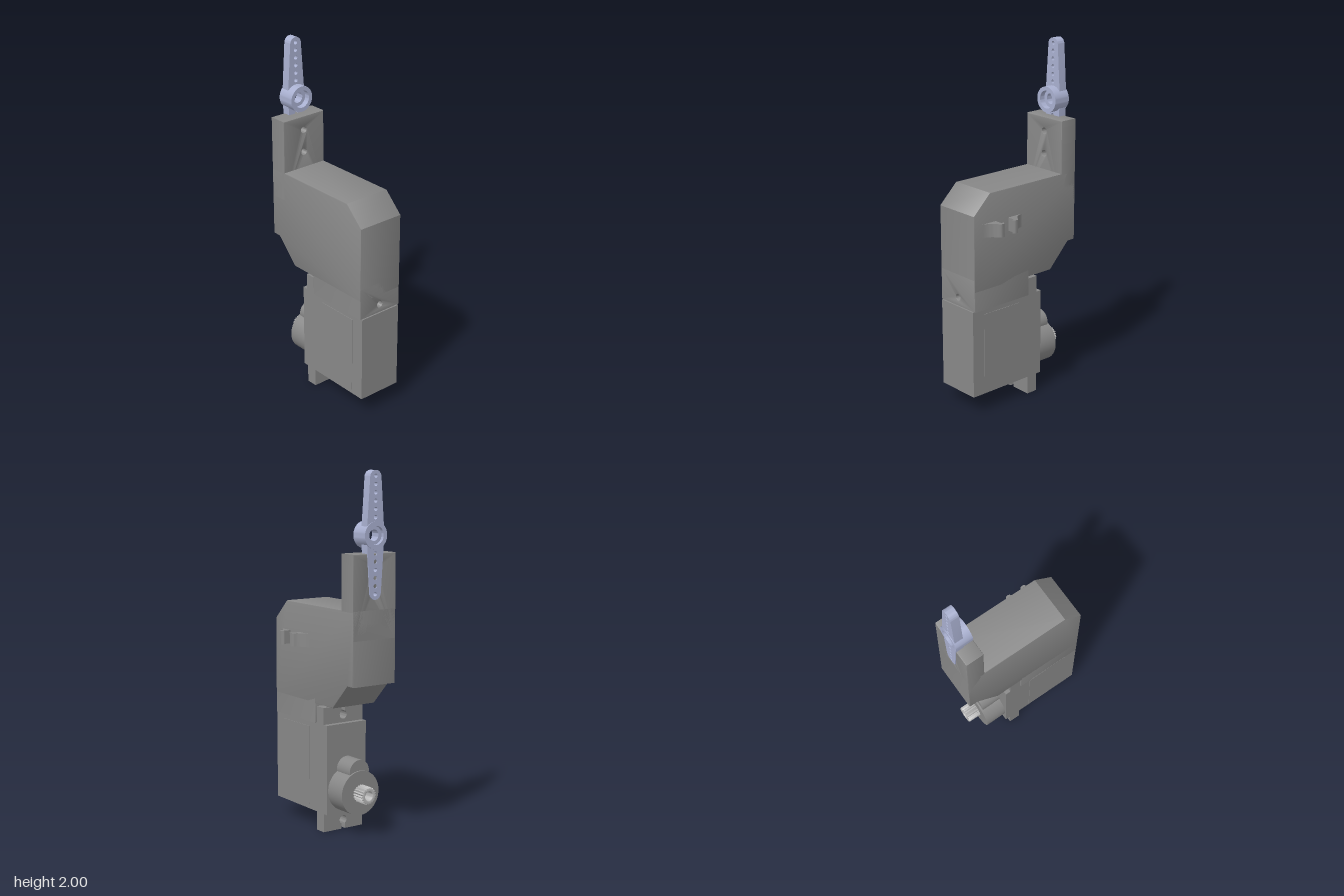
import * as THREE from 'three';
import { toCreasedNormals } from 'three/addons/utils/BufferGeometryUtils.js';

const CX = -0.034; // centre line of the body

export function createModel() {
  const root = new THREE.Group();
  root.name = 'servoArm';
  const mat = (name, color) => {
    const m = new THREE.MeshStandardMaterial({ color });
    m.name = name;
    return m;
  };
  const grey = mat('plastic grey', 0x888888);
  const horn = mat('pale blue plastic', 0xa9b0d0);
  const metal = mat('light metal', 0xb8b8b8);
  const orange = mat('orange wire', 0xe8930c);
  const dull = mat('dull wire', 0x8f8a80);

  const add = (name, geo, material, x = 0, y = 0, z = 0, parent = root) => {
    const m = new THREE.Mesh(geo, material);
    m.name = name;
    m.position.set(x, y, z);
    parent.add(m);
    return m;
  };
  const poly = (pts) => new THREE.Shape(pts.map(([x, y]) => new THREE.Vector2(x, y)));
  const hole = (shape, x, y, r) => {
    shape.holes.push(new THREE.Path().absarc(x, y, r, 0, Math.PI * 2, true));
    return shape;
  };
  // Extrusion from z0 to z1, with an optional small chamfer kept inside the outline
  const slab = (shape, z0, z1, b = 0) => {
    const g = new THREE.ExtrudeGeometry(shape, {
      depth: z1 - z0 - 2 * b, curveSegments: 20, bevelEnabled: b > 0,
      bevelSize: b, bevelThickness: b, bevelOffset: -b, bevelSegments: 2,
    });
    g.translate(0, 0, z0 + b);
    return toCreasedNormals(g, 0.6);
  };
  const rect = (hw, y0, y1) => poly([[-hw, y0], [hw, y0], [hw, y1], [-hw, y1]]);
  const discZ = (r, len) => new THREE.CylinderGeometry(r, r, len, 48).rotateX(Math.PI / 2);

  // Bracket: side profile (z, y) extruded across x
  const W = 0.1415;
  const bracket = new THREE.Group();
  bracket.name = 'bracket';
  root.add(bracket);
  const side = poly([
    [-0.375, 0.72], [0.185, 0.72], [0.32, 0.86], [0.37, 0.86],
    [0.37, 1.265], [-0.262, 1.265], [-0.375, 1.155],
  ]);
  add('bracketBody', slab(side, -W, W, 0.006).rotateY(Math.PI / 2), grey, CX, 0, 0, bracket);
  const post = rect(W, 1.1, 1.565);
  [1.485, 1.355].forEach((y) => hole(post, 0, y, 0.018));
  add('bracketPost', slab(post, -0.37, -0.262, 0.006), grey, CX, 0, 0, bracket);
  add('bracketSkirt', slab(hole(rect(W, 0.61, 0.8), 0, 0.66, 0.018), -0.022, 0.375, 0.006),
    grey, CX, 0, 0, bracket);

  // Pair of cable hooks on the left side, plan outline (x, z)
  const hook = new THREE.Shape();
  hook.moveTo(0.1, 0.03);
  hook.lineTo(0.108, 0.035);
  hook.quadraticCurveTo(0.116, 0.085, 0.156, 0.107);
  hook.quadraticCurveTo(0.172, 0.115, 0.172, 0.128);
  hook.quadraticCurveTo(0.17, 0.143, 0.159, 0.147);
  hook.quadraticCurveTo(0.151, 0.142, 0.153, 0.132);
  hook.lineTo(0.1, 0.132);
  const hookPts = hook.getPoints(10);
  const hook2 = new THREE.Shape(hookPts.map((p) => new THREE.Vector2(p.x, 0.355 - p.y)));
  [hook, hook2].forEach((s, i) =>
    add(i ? 'frontHook' : 'rearHook', slab(s, 0, 0.075).rotateX(Math.PI / 2), grey, 0, 1.1, 0));

  // Servo case with thin raised side panels
  const servo = new THREE.Group();
  servo.name = 'servo';
  root.add(servo);
  add('servoCase', new THREE.BoxGeometry(0.264, 0.505, 0.5), grey, CX, 0.3575, 0.13, servo);
  [-1, 1].forEach((s) =>
    add('sidePanel', new THREE.BoxGeometry(0.006, 0.45, 0.25), grey, CX + s * 0.132, 0.355, 0.175, servo));

  // Mounting flange with a keyhole slot at each end
  const H = 0.705, hw = 0.132, sw = 0.012, r = 0.024, d = 0.052, T = Math.PI / 3;
  const flange = new THREE.Shape();
  flange.moveTo(-hw, 0);
  flange.lineTo(-sw, 0);
  flange.absarc(0, d, r, -2 * T, -T, true);
  flange.lineTo(sw, 0);
  flange.lineTo(hw, 0);
  flange.lineTo(hw, H);
  flange.lineTo(sw, H);
  flange.absarc(0, H - d, r, T, 2 * T, true);
  flange.lineTo(-sw, H);
  flange.lineTo(-hw, H);
  add('mountingFlange', slab(flange, -0.088, -0.022), grey, CX, 0, 0, servo);

  // Gear housing and idler bump
  add('gearHousing', discZ(0.125, 0.14), grey, CX, 0.24, -0.18, servo);
  add('idlerBump', discZ(0.065, 0.13), grey, CX, 0.36, -0.175, servo);

  // Splined output shaft with a screw hole
  const teeth = 20;
  const spline = poly(Array.from({ length: teeth * 2 }, (_, i) => {
    const a = (i / (teeth * 2)) * Math.PI * 2, q = i % 2 ? 0.043 : 0.05;
    return [q * Math.cos(a), q * Math.sin(a)];
  }));
  add('outputShaft', slab(hole(spline, 0, 0, 0.025), -0.33, -0.245, 0.004), metal, CX, 0.24, 0, servo);

  // Three wire ends under the case
  [orange, orange, dull].forEach((m, i) =>
    add('wire', new THREE.BoxGeometry(0.022, 0.045, 0.025), m, -0.064 + i * 0.03, 0.085, 0.278, servo));

  // Horn: two tapered arms with a row of holes, and a counterbored hub
  const hornGroup = new THREE.Group();
  hornGroup.name = 'horn';
  hornGroup.position.set(CX, 1.66, 0);
  root.add(hornGroup);
  const arm = new THREE.Shape();
  arm.moveTo(0.058, 0);
  arm.lineTo(0.037, 0.303);
  arm.absarc(0, 0.303, 0.037, 0, Math.PI, false);
  arm.lineTo(-0.058, 0);
  arm.lineTo(-0.037, -0.303);
  arm.absarc(0, -0.303, 0.037, Math.PI, Math.PI * 2, false);
  hole(arm, 0, 0, 0.055);
  for (let i = 0; i < 6; i++)
    [-1, 1].forEach((s) => hole(arm, 0, s * (0.095 + i * 0.043), 0.011));
  add('hornArms', slab(arm, -0.375, -0.325), horn, 0, 0, 0, hornGroup);
  const hub = [
    [0.05, -0.38], [0.073, -0.38], [0.073, -0.277], [0.05, -0.277], [0.05, -0.31],
    [0.03, -0.31], [0.03, -0.36], [0.05, -0.36], [0.05, -0.38],
  ].map(([x, y]) => new THREE.Vector2(x, y));
  add('hornHub', toCreasedNormals(new THREE.LatheGeometry(hub, 48).rotateX(Math.PI / 2), 0.6),
    horn, 0, 0, 0, hornGroup);

  return root;
}
